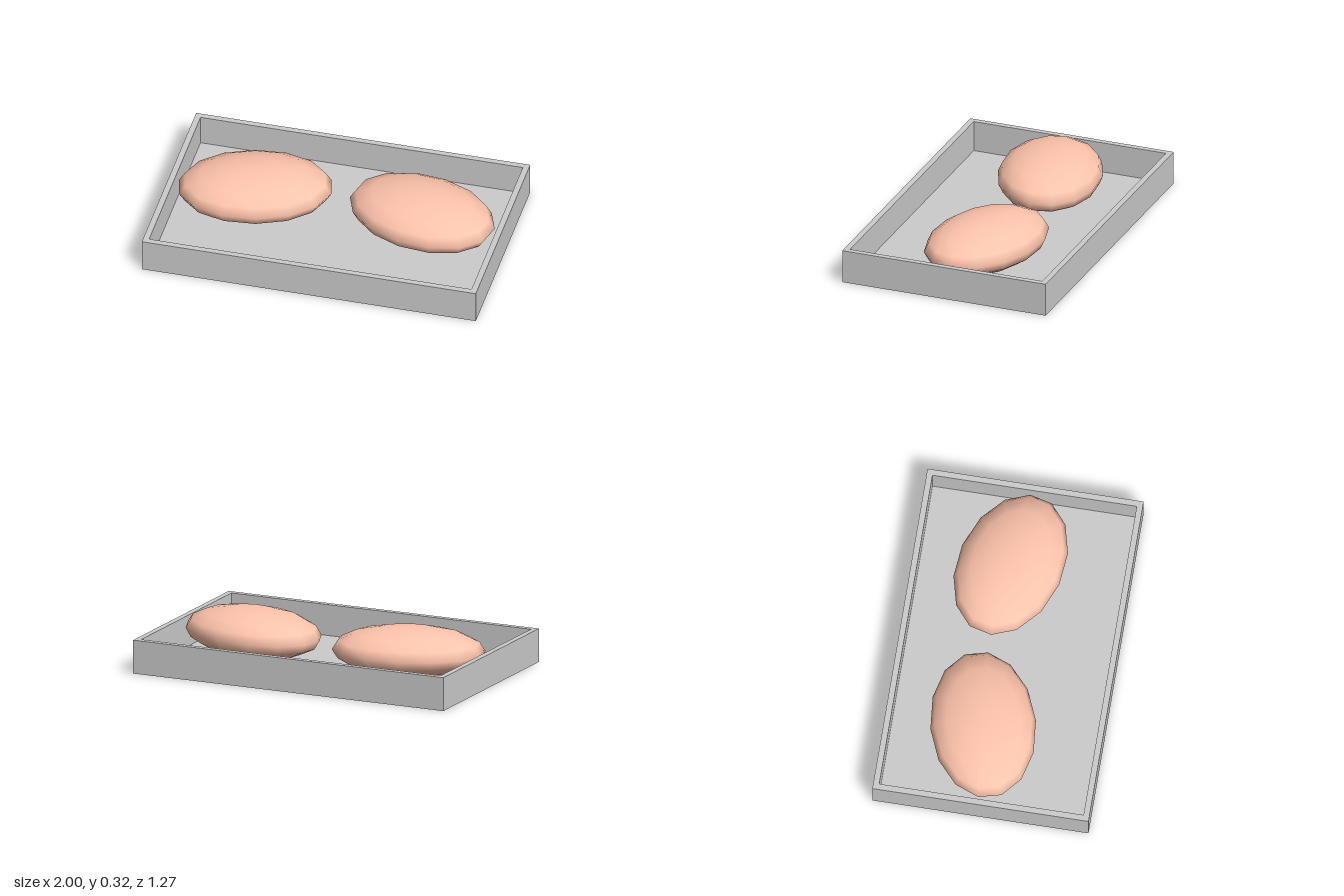
import * as THREE from 'three';

const W = 2, D = 1.27, H = 0.2, WALL = 0.035, FLOOR = 0.015;

// Counter-clockwise rectangle centred on the origin
const rectangle = (Type, w, d) => new Type([
  [-w / 2, -d / 2], [w / 2, -d / 2], [w / 2, d / 2], [-w / 2, d / 2],
].map(([x, y]) => new THREE.Vector2(x, y)));

// Extrudes a flat outline upwards from the ground
function slab(shape, height) {
  const geometry = new THREE.ExtrudeGeometry(shape, { depth: height, bevelEnabled: false });
  return geometry.rotateX(-Math.PI / 2);
}

export function createModel() {
  const model = new THREE.Group();
  const grey = new THREE.MeshStandardMaterial({ color: 0xcccccc });
  const peach = new THREE.MeshStandardMaterial({ color: 0xffc4ac });

  // Open tray: thin walls around a thin floor
  const tray = new THREE.Group();
  tray.name = 'tray';
  const innerW = W - 2 * WALL, innerD = D - 2 * WALL;
  const rim = rectangle(THREE.Shape, W, D);
  rim.holes.push(rectangle(THREE.Path, innerW, innerD));
  const walls = new THREE.Mesh(slab(rim, H), grey);
  walls.name = 'trayWalls';
  const floor = new THREE.Mesh(slab(rectangle(THREE.Shape, innerW, innerD), FLOOR), grey);
  floor.name = 'trayFloor';
  tray.add(walls, floor);
  model.add(tray);

  // Two flattened ovals, turned as mirror images of each other
  const oval = new THREE.SphereGeometry(1, 14, 8, Math.PI / 2).scale(0.453, 0.14, 0.307);
  for (const side of [-1, 1]) {
    const mesh = new THREE.Mesh(oval, peach);
    mesh.name = side > 0 ? 'leftOval' : 'rightOval';
    mesh.position.set(side * 0.5, 0.177, -0.065);
    mesh.rotation.y = -side * 0.25;
    model.add(mesh);
  }
  return model;
}
